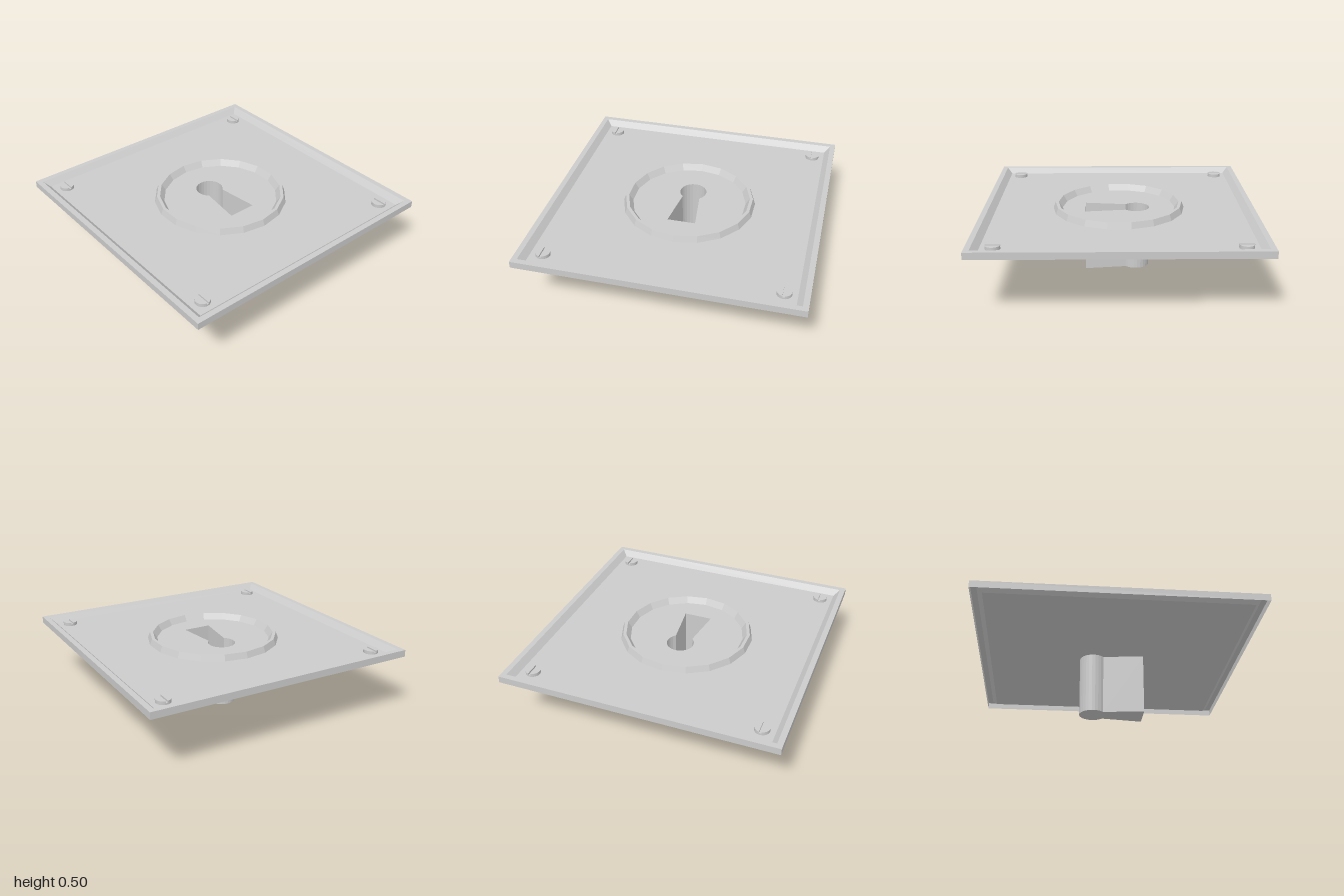
import * as THREE from 'three';

const FLOOR = 0.46; // height of the recessed plate face

export function createModel() {
  const model = new THREE.Group();
  const material = new THREE.MeshStandardMaterial({
    color: 0xcccccc, flatShading: true, side: THREE.DoubleSide,
  });

  function add(name, geometry, parent = model) {
    const mesh = new THREE.Mesh(geometry, material);
    mesh.name = name;
    parent.add(mesh);
    return mesh;
  }
  const profile = (pairs, scale = 1) => pairs.map(([r, y]) => new THREE.Vector2(r * scale, y));
  // Lay a flat shape (drawn in x, -z) at height y
  const lay = (geometry, y) => geometry.rotateX(-Math.PI / 2).translate(0, y, 0);

  // Square rim: outer wall, flat lip and inward bevel
  add('plateRim', new THREE.LatheGeometry(
    profile([[1, 0.45], [1, 0.5], [0.96, 0.5], [0.92, FLOOR]], Math.SQRT2),
    4, Math.PI / 4));

  // Keyhole outline: round head over a flared slot
  const headY = 0.13, headR = 0.1, neckX = 0.065;
  const neck = Math.asin(neckX / headR);
  const outline = [];
  const steps = 20;
  for (let i = 0; i <= steps; i++) {
    const a = -Math.PI / 2 + neck + (i / steps) * (2 * Math.PI - 2 * neck);
    outline.push(new THREE.Vector2(headR * Math.cos(a), headY + headR * Math.sin(a)));
  }
  outline.push(new THREE.Vector2(-0.103, -0.25), new THREE.Vector2(0.103, -0.25));

  // Recessed plate face pierced by the keyhole
  const face = new THREE.Shape(profile([[-0.92, -0.92], [0.92, -0.92], [0.92, 0.92], [-0.92, 0.92]]));
  face.holes.push(new THREE.Path(outline));
  add('plateFace', lay(new THREE.ShapeGeometry(face), FLOOR));

  // Keyhole shaft: thin walls down to a closed bottom
  const walls = [], index = [];
  outline.forEach((p, i) => {
    walls.push(p.x, 0, -p.y, p.x, FLOOR, -p.y);
    const a = 2 * i, b = 2 * ((i + 1) % outline.length);
    index.push(a, b, b + 1, a, b + 1, a + 1);
  });
  const shaft = new THREE.BufferGeometry();
  shaft.setAttribute('position', new THREE.Float32BufferAttribute(walls, 3));
  shaft.setIndex(index);
  shaft.computeVertexNormals();
  add('keyholeShaft', shaft);
  add('keyholeBottom', lay(new THREE.ShapeGeometry(new THREE.Shape(outline)), 0));

  // Raised faceted ring around the keyhole
  add('keyholeRing', new THREE.LatheGeometry(
    profile([[0.492, FLOOR], [0.475, 0.505], [0.452, 0.505], [0.422, FLOOR]]), 18));

  // Slotted screw in each corner
  const screwR = 0.052, slotHalf = 0.008, slotY = 0.473, screwTop = 0.485;
  const a = Math.acos(slotHalf / screwR);
  for (const x of [-0.83, 0.83]) {
    for (const z of [-0.83, 0.83]) {
      const screw = new THREE.Group();
      screw.name = 'screw';
      screw.position.set(x, 0, z);
      add('screwBase', new THREE.CylinderGeometry(screwR, screwR, slotY - FLOOR, 24)
        .translate(0, (slotY + FLOOR) / 2, 0), screw);
      for (const turn of [0, Math.PI]) {
        const half = new THREE.Shape();
        half.absarc(0, 0, screwR, turn - a, turn + a, false);
        add('screwHeadHalf', lay(new THREE.ExtrudeGeometry(half, {
          depth: screwTop - slotY, bevelEnabled: false, curveSegments: 12,
        }), slotY), screw);
      }
      model.add(screw);
    }
  }
  return model;
}
